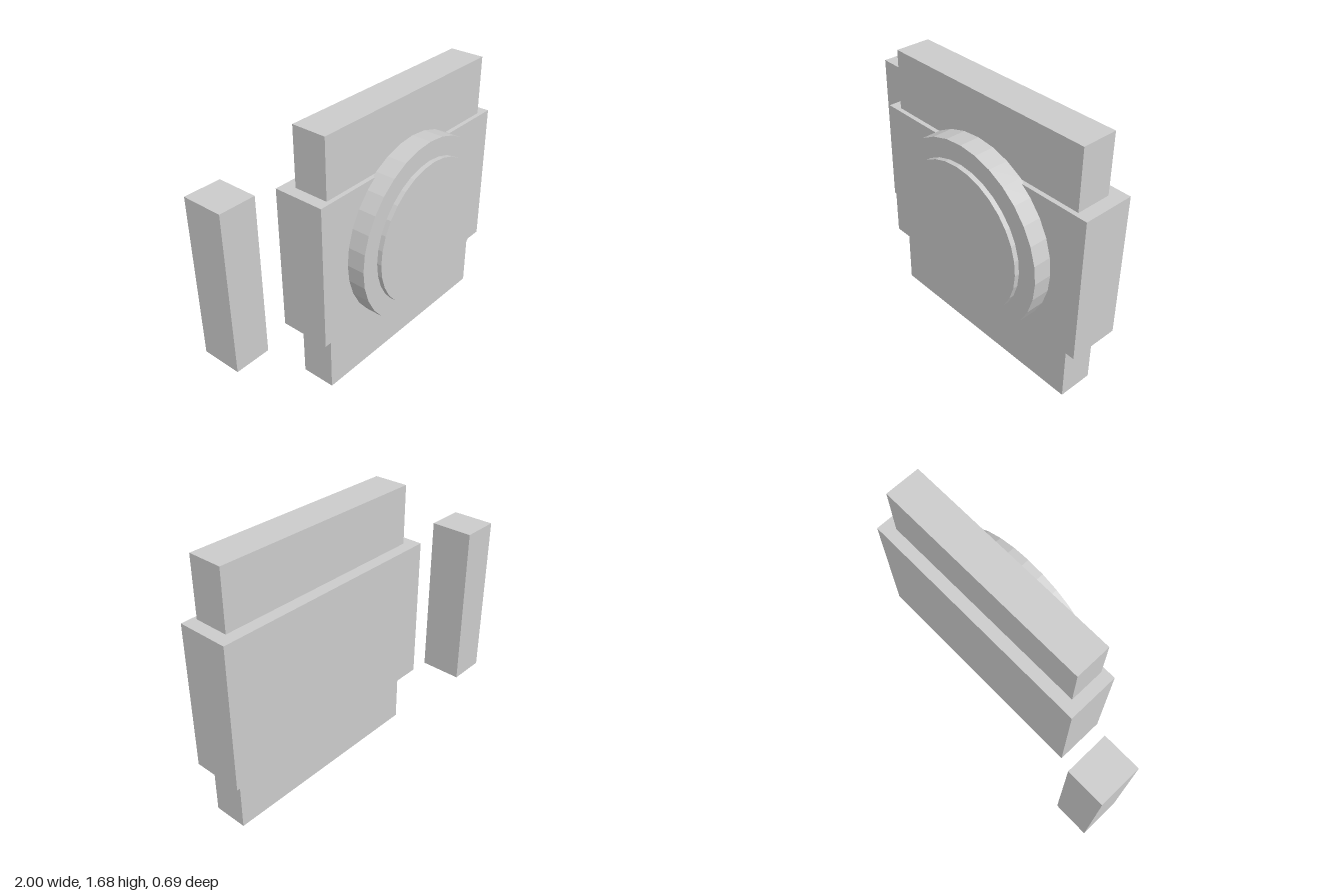
import * as THREE from 'three';

export function createModel() {
  const model = new THREE.Group();
  const grey = new THREE.MeshStandardMaterial({ color: 0xcccccc, flatShading: true });
  grey.name = 'light grey';

  function add(name, geometry, x, y, z) {
    const mesh = new THREE.Mesh(geometry, grey);
    mesh.name = name;
    mesh.position.set(x, y, z);
    model.add(mesh);
  }

  // Box given by its extents along each axis
  function block(name, [x0, x1], [y0, y1], [z0, z1]) {
    const geometry = new THREE.BoxGeometry(x1 - x0, y1 - y0, z1 - z0);
    add(name, geometry, (x0 + x1) / 2, (y0 + y1) / 2, (z0 + z1) / 2);
  }

  // Round disc facing forward, sharing one centre line
  function disc(name, radius, z0, z1) {
    const geometry = new THREE.CylinderGeometry(radius, radius, z1 - z0, 32).rotateX(Math.PI / 2);
    add(name, geometry, 0.21, 0.842, (z0 + z1) / 2);
  }

  // Tall strap plate, wide case body and the separate side bar
  block('strapPlate', [-0.5, 0.92], [0, 1.68], [-0.048, 0.175]);
  block('caseBody', [-0.573, 1], [0.378, 1.306], [-0.124, 0.203]);
  block('sideBar', [-1, -0.762], [0.32, 1.364], [-0.347, -0.079]);

  // Stepped round dial on the front
  disc('dialRim', 0.582, 0.19, 0.317);
  disc('dialFace', 0.463, 0.3, 0.347);

  return model;
}
